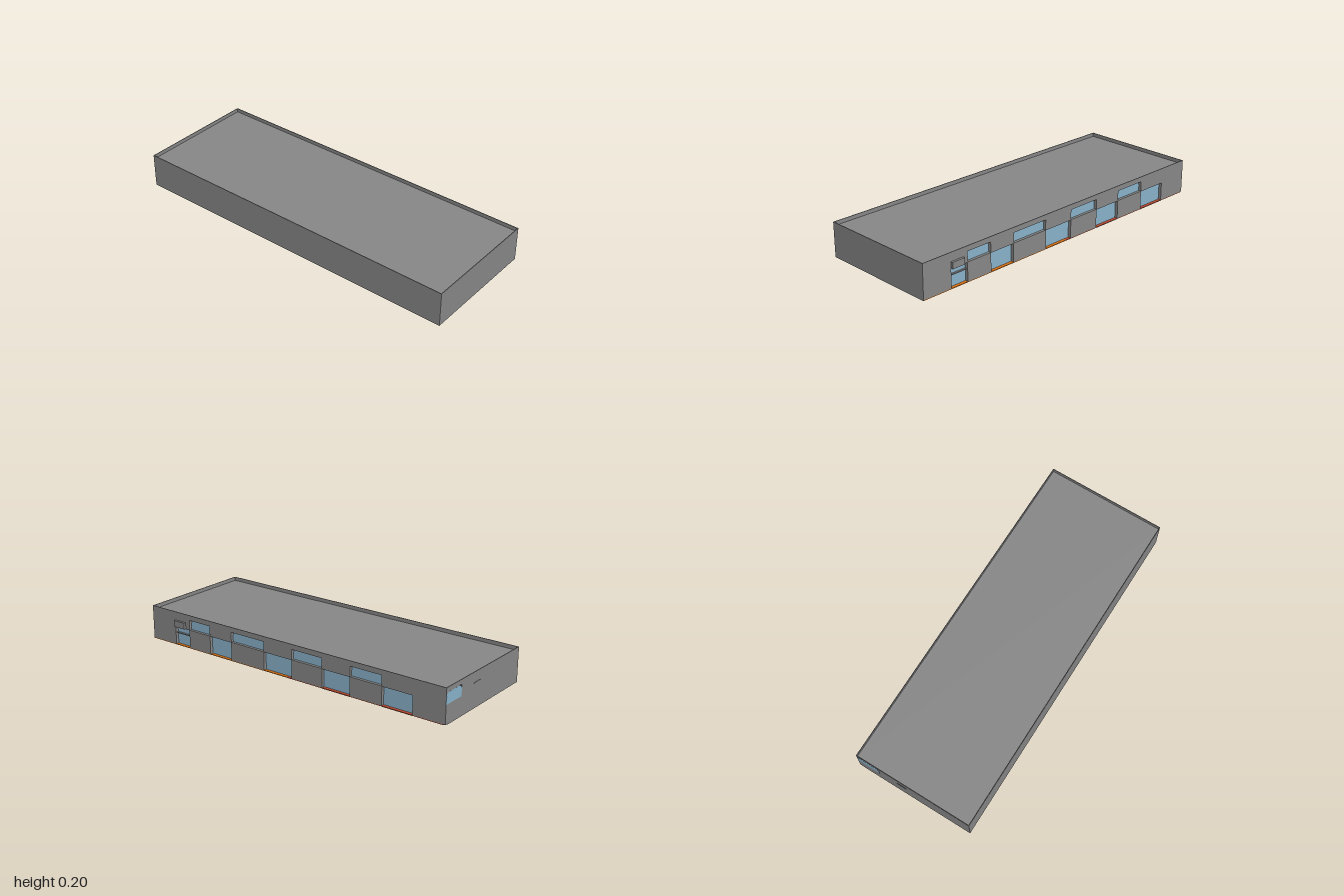
import * as THREE from 'three';

const X0 = -0.36, X1 = 0.345, TOP = 0.2, ROOF = 0.178, RECESS = 0.02;

const material = (name, color) => {
  const m = new THREE.MeshStandardMaterial({ color });
  m.name = name;
  return m;
};

function rect(a, b, y0, y1) {
  return [[a, y0], [b, y0], [b, y1], [a, y1]].map(p => new THREE.Vector2(...p));
}

// window pane outline with rounded upper corners
function paneShape(a, b, y0, y1, r) {
  const s = new THREE.Shape();
  s.moveTo(a, y0);
  s.lineTo(b, y0);
  s.lineTo(b, y1 - r);
  s.quadraticCurveTo(b, y1, b - r, y1);
  s.lineTo(a + r, y1);
  s.quadraticCurveTo(a, y1, a, y1 - r);
  s.closePath();
  return s;
}

export function createModel() {
  const grey = material('wall grey', 0x888888);
  const blue = material('glass blue', 0x8ab3cc);
  const orange = material('floor orange', 0xe07514);
  const amber = material('floor amber', 0xe09414);
  const red = material('floor red', 0xc45034);
  const model = new THREE.Group();
  model.name = 'longBuilding';

  const add = (parent, name, geometry, mat) => {
    const mesh = new THREE.Mesh(geometry, mat);
    mesh.name = name;
    parent.add(mesh);
    return mesh;
  };
  // box given by its limits on each axis
  const box = (name, mat, x0, x1, y0, y1, z0, z1, parent = model) => {
    const mesh = add(parent, name, new THREE.BoxGeometry(x1 - x0, y1 - y0, z1 - z0), mat);
    mesh.position.set((x0 + x1) / 2, (y0 + y1) / 2, (z0 + z1) / 2);
    return mesh;
  };
  const extrude = (shape, depth) =>
    new THREE.ExtrudeGeometry(shape, { depth, bevelEnabled: false, curveSegments: 6 });

  // plain walls, roof and the thin parapet around it
  box('frontWall', grey, X0, X1, 0, TOP, 0.996, 1);
  box('leftOuterWall', grey, X0, X0 + 0.004, 0, TOP, -1, 1);
  box('roof', grey, X0 + 0.004, X1 - 0.004, ROOF - 0.006, ROOF, -0.996, 0.996);
  box('sideParapet', grey, X1 - 0.004, X1, ROOF, TOP, -1, 1);
  box('backParapet', grey, X0, X1, ROOF, TOP, -1, -0.996);

  // entrance side, drawn along -z and turned to face +x
  const side = new THREE.Group();
  side.name = 'entranceSide';
  side.rotation.y = Math.PI / 2;
  side.position.x = X1 - RECESS;
  model.add(side);
  const doors = [[-0.82, -0.712], [-0.552, -0.394], [-0.156, 0.036], [0.242, 0.42], [0.622, 0.807]];
  const windows = [[-0.71, -0.554], [-0.392, -0.158], [0.038, 0.24], [0.422, 0.62]];

  const outline = [[-0.996, 0.005]];
  for (const [a, b] of doors) outline.push([a, 0.005], [a, 0.11], [b, 0.11], [b, 0.005]);
  outline.push([1, 0.005], [1, ROOF], [-0.996, ROOF]);
  const sideShape = new THREE.Shape(outline.map(p => new THREE.Vector2(...p)));
  for (const [a, b] of windows) sideShape.holes.push(new THREE.Path(rect(a, b, 0.112, 0.17)));
  add(side, 'entranceWall', extrude(sideShape, RECESS), grey);
  box('innerPanel', grey, -0.996, 0.996, 0.005, 0.172, -0.006, -0.001, side);
  for (const [a, b] of doors) box('doorGlass', blue, a, b, 0.005, 0.11, -0.001, 0.002, side);
  for (const [a, b] of windows)
    add(side, 'windowGlass', extrude(paneShape(a, b, 0.112, 0.17, 0.03), 0.004), blue);

  // first door rail and the box above it
  box('doorRail', grey, X1 - RECESS, X1 - 0.008, 0.07, 0.076, 0.712, 0.82);
  box('wallBox', grey, X1, 0.358, 0.113, 0.15, 0.74, 0.82);

  // back wall, drawn along -x and turned to face -z
  const back = new THREE.Group();
  back.name = 'backSide';
  back.rotation.y = Math.PI;
  back.position.z = -0.99;
  model.add(back);
  const backShape = new THREE.Shape(rect(-X1 + RECESS, -X0, 0, ROOF));
  backShape.holes.push(new THREE.Path(rect(-X1 + RECESS + 0.001, -0.205, 0.11, 0.173)));
  add(back, 'backWall', extrude(backShape, 0.01), grey);
  box('backInnerPanel', grey, -X1 + 0.004, -0.19, 0.1, 0.175, -0.004, -0.001, back);
  add(back, 'backWindowGlass', extrude(paneShape(-X1 + 0.002, -0.205, 0.11, 0.173, 0.025), 0.0105), blue);
  box('backLedge', grey, -0.09, -0.03, 0.14, 0.143, 0.009, 0.012, back);

  // coloured floors, seen in the doorways and from below
  box('orangeFloor', orange, -0.012, X1, 0.001, 0.005, 0, 0.996);
  box('amberFloor', amber, X0 + 0.004, -0.012, 0.001, 0.005, 0, 0.996);
  box('redFloor', red, X0 + 0.004, X1, 0.001, 0.005, -0.99, 0);

  // grey patches under the floor, with rounded inner corners
  const patch = (x0, x1, z0, z1, inner, r) => {
    const s = new THREE.Shape();
    const [outer, tip] = inner > 0 ? [x0, x1] : [x1, x0];
    s.moveTo(outer, z0);
    s.lineTo(tip - inner * r, z0);
    s.quadraticCurveTo(tip, z0, tip, z0 + r);
    s.lineTo(tip, z1 - r);
    s.quadraticCurveTo(tip, z1, tip - inner * r, z1);
    s.lineTo(outer, z1);
    const mesh = add(model, 'floorPatch', extrude(s, 0.003), grey);
    mesh.rotation.x = Math.PI / 2;
    mesh.position.y = 0.003;
  };
  patch(X0, 0.02, 0.136, 0.373, 1, 0.01);
  patch(X0, 0.02, -0.815, -0.625, 1, 0.05);
  patch(0.205, X1, -0.42, -0.242, -1, 0.04);
  patch(0.2, X1, -0.807, -0.622, -1, 0.04);

  return model;
}
